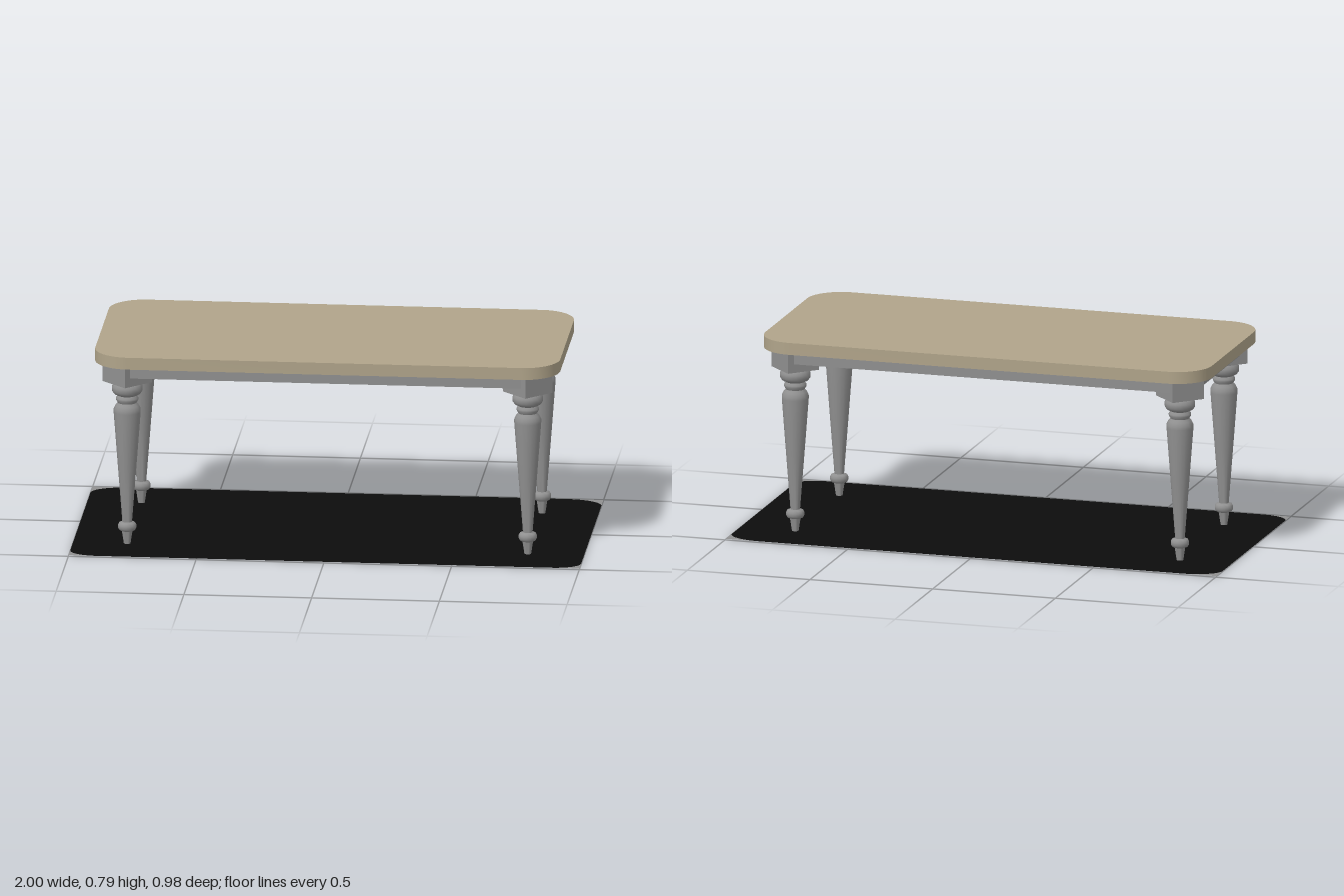
import * as THREE from 'three';
import { toCreasedNormals } from 'three/addons/utils/BufferGeometryUtils.js';

const material = (name, color, side = THREE.FrontSide) => {
  const m = new THREE.MeshStandardMaterial({ color, side });
  m.name = name;
  return m;
};

// Rectangle with rounded corners; rTop / rBottom are [x, y] corner radii
function roundedRect(w, h, rTop, rBottom = rTop) {
  const s = new THREE.Shape();
  const [tx, ty] = rTop, [bx, by] = rBottom;
  s.moveTo(-w + bx, -h);
  s.lineTo(w - bx, -h);
  s.absellipse(w - bx, -h + by, bx, by, -Math.PI / 2, 0);
  s.lineTo(w, h - ty);
  s.absellipse(w - tx, h - ty, tx, ty, 0, Math.PI / 2);
  s.lineTo(-w + tx, h);
  s.absellipse(-w + tx, h - ty, tx, ty, Math.PI / 2, Math.PI);
  s.lineTo(-w, -h + by);
  s.absellipse(-w + bx, -h + by, bx, by, Math.PI, Math.PI * 1.5);
  return s;
}

// Horizontal slab from an outline, standing on y = 0
function slab(shape, depth) {
  const g = new THREE.ExtrudeGeometry(shape, { depth, bevelEnabled: false, curveSegments: 12 });
  return toCreasedNormals(g.rotateX(-Math.PI / 2), 0.5);
}

export function createModel() {
  const group = new THREE.Group();
  const tan = material('tan wood', 0xb0a48a);
  const grey = material('grey', 0x909090);
  const underside = material('dark underside', 0x2e2820);
  const black = material('black floor', 0x0c0c0c, THREE.DoubleSide);
  const floorGrey = material('floor corner grey', 0x909090, THREE.DoubleSide);

  const add = (name, geometry, mat, x = 0, y = 0, z = 0, parent = group) => {
    const mesh = new THREE.Mesh(geometry, mat);
    mesh.name = name;
    mesh.position.set(x, y, z);
    parent.add(mesh);
    return mesh;
  };

  // Floor sheet with its lighter corners
  const blackShape = roundedRect(1, 0.49, [0.14, 0.085], [0.11, 0.07]);
  const corners = roundedRect(1, 0.49, [0.0001, 0.0001]);
  corners.holes.push(new THREE.Path(blackShape.getPoints(12)));
  add('floorSheet', new THREE.ShapeGeometry(blackShape).rotateX(-Math.PI / 2), black, 0, 0.002);
  add('floorCorners', new THREE.ShapeGeometry(corners).rotateX(-Math.PI / 2), floorGrey, 0, 0.002);

  const table = new THREE.Group();
  table.name = 'table';
  table.position.set(-0.005, 0, 0.005);
  group.add(table);

  // Rounded tabletop with a dark face below
  const topShape = roundedRect(0.91, 0.417, [0.14, 0.14]);
  add('tabletop', slab(topShape, 0.048), tan, 0, 0.74, 0, table);
  add('tabletopUnderside', new THREE.ShapeGeometry(topShape).rotateX(Math.PI / 2),
    underside, 0, 0.739, 0, table);

  // Solid apron, its corners cut where the blocks sit
  const apron = new THREE.Shape([
    [-0.765, -0.37], [0.765, -0.37], [0.856, -0.267], [0.856, 0.267],
    [0.765, 0.37], [-0.765, 0.37], [-0.856, 0.267], [-0.856, -0.267],
  ].map(([x, y]) => new THREE.Vector2(x, y)));
  add('apron', slab(apron, 0.05), grey, 0, 0.691, 0, table);

  // Turned legs under diagonal corner blocks
  const profile = [
    [0, 0], [0.013, 0], [0.021, 0.053], [0.031, 0.057], [0.036, 0.066], [0.036, 0.077],
    [0.031, 0.086], [0.019, 0.09], [0.036, 0.31], [0.053, 0.535], [0.053, 0.548],
    [0.046, 0.562], [0.037, 0.573], [0.044, 0.585], [0.044, 0.592], [0.036, 0.602],
    [0.052, 0.61], [0.06, 0.622], [0.06, 0.638], [0.052, 0.652], [0.042, 0.657],
  ].map(([r, y]) => new THREE.Vector2(r, y));
  const legGeometry = toCreasedNormals(new THREE.LatheGeometry(profile, 18), 0.9);
  const blockGeometry = toCreasedNormals(new THREE.CylinderGeometry(0.097, 0.097, 0.084, 4), 0.5);
  for (const [front, sz] of [['front', 1], ['back', -1]]) {
    for (const [side, sx] of [['Left', 1], ['Right', -1]]) {
      add(`${front}${side}Leg`, legGeometry, grey, sx * 0.784, 0, sz * 0.292, table);
      add(`${front}${side}Block`, blockGeometry, grey, sx * 0.784, 0.698, sz * 0.292, table);
    }
  }
  return group;
}
